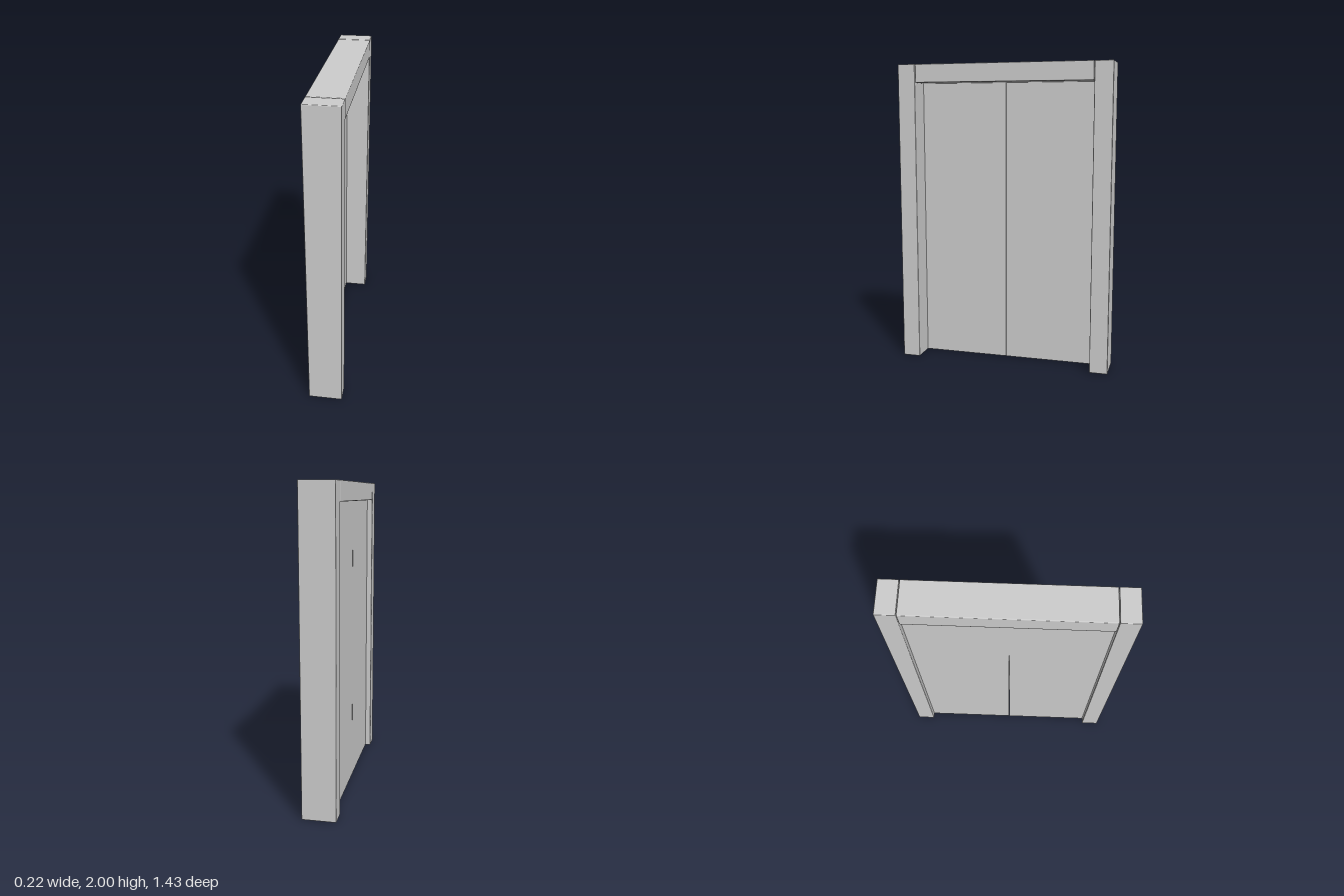
import * as THREE from 'three';
import { RoundedBoxGeometry } from 'three/addons/geometries/RoundedBoxGeometry.js';

const DEPTH = 0.215;   // frame thickness along x
const HALF = 0.713;    // half of the overall width along z
const INNER = 0.594;   // inner face of the posts
const HEIGHT = 2;
const HEAD = 1.88;     // underside of the lintel

export function createModel() {
  const group = new THREE.Group();
  const material = new THREE.MeshStandardMaterial({ color: 0xcccccc });

  const add = (name, geometry, x, y, z) => {
    const mesh = new THREE.Mesh(geometry, material);
    mesh.name = name;
    mesh.position.set(x, y, z);
    group.add(mesh);
  };

  // Frame: two posts and the lintel between them, with softened edges
  const postWidth = HALF - INNER;
  for (const [name, side] of [['frontPost', 1], ['backPost', -1]]) {
    add(name, new RoundedBoxGeometry(DEPTH, HEIGHT, postWidth, 2, 0.005),
      0, HEIGHT / 2, side * (HALF + INNER) / 2);
  }
  add('lintel', new RoundedBoxGeometry(DEPTH, HEIGHT - HEAD, 2 * INNER - 0.006, 2, 0.006),
    0, (HEIGHT + HEAD) / 2, 0);

  // Two thin door leaves meeting at a narrow seam, set toward the -x face
  const seam = 0.009;
  const gap = 0.001;
  const bottom = 0.004;
  const leaves = [
    ['frontLeaf', seam + gap, INNER],
    ['backLeaf', -INNER, seam - gap],
  ];
  for (const [name, z0, z1] of leaves) {
    add(name, new THREE.BoxGeometry(0.025, HEAD - bottom, z1 - z0),
      -0.058, (HEAD + bottom) / 2, (z0 + z1) / 2);
  }

  return group;
}
